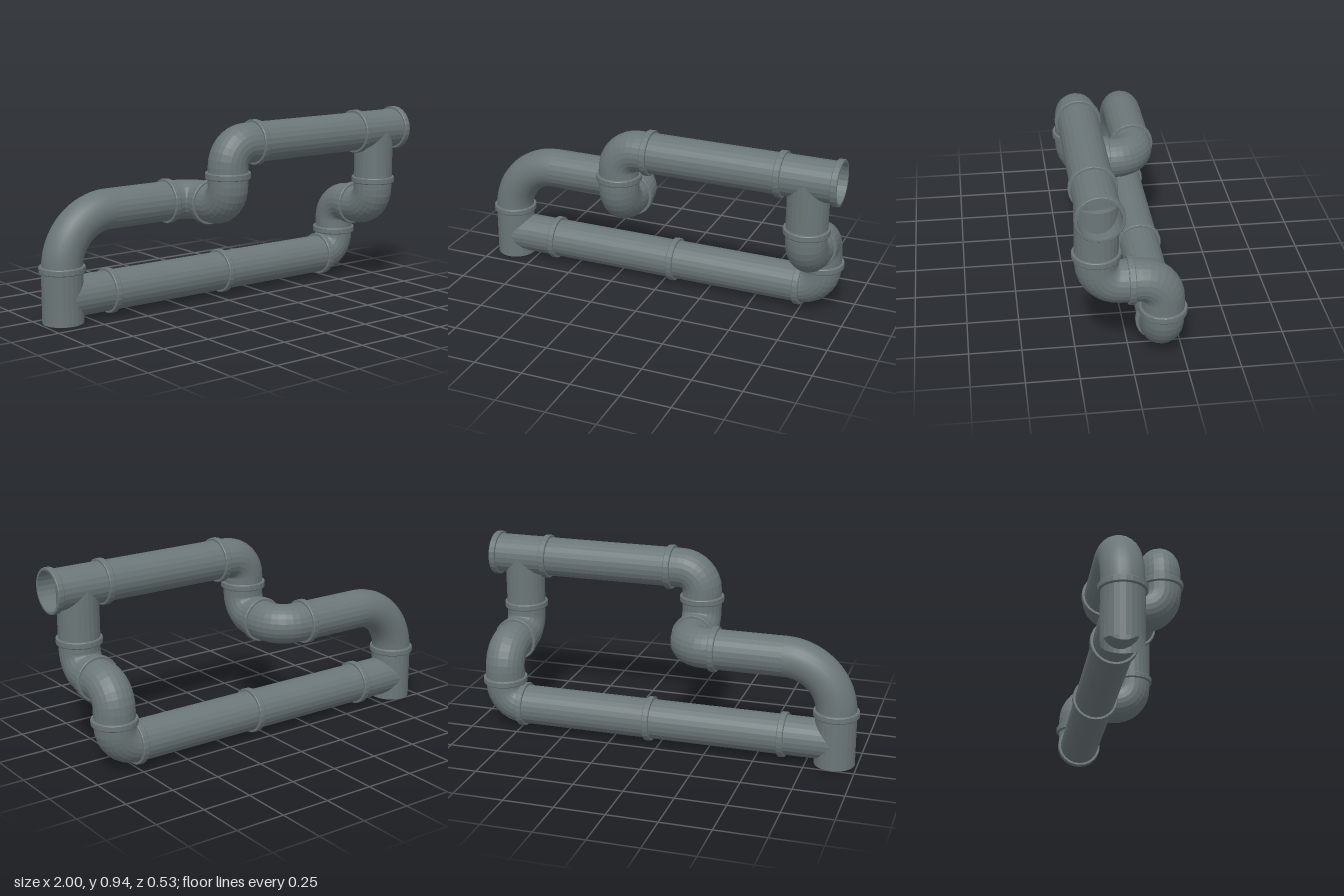
import * as THREE from 'three';

const SIDES = 24;
const R = 0.1;        // pipe radius
const BEND = 0.106;   // centreline radius of the short elbows
const UP = new THREE.Vector3(0, 1, 0);
const v = (x, y, z) => new THREE.Vector3(x, y, z);

export function createModel() {
  const root = new THREE.Group();
  root.name = 'pipework';
  const flat = new THREE.MeshStandardMaterial({ color: 0x6b7678, side: THREE.DoubleSide, flatShading: true });
  const smooth = new THREE.MeshStandardMaterial({ color: 0x6b7678, side: THREE.DoubleSide });

  const add = (name, geometry, material = flat) => {
    const mesh = new THREE.Mesh(geometry, material);
    mesh.name = name;
    root.add(mesh);
    return mesh;
  };

  // Open straight tube between two points
  const pipe = (name, a, b, r = R) => {
    const mesh = add(name, new THREE.CylinderGeometry(r, r, a.distanceTo(b), SIDES, 1, true));
    mesh.position.copy(a).add(b).multiplyScalar(0.5);
    mesh.quaternion.setFromUnitVectors(UP, b.clone().sub(a).normalize());
  };

  // Quarter bend round a corner, with straight stubs running out to both ends
  const elbow = (name, from, corner, to, bend = BEND, material = flat, steps = 8) => {
    const a = from.clone().sub(corner).normalize();
    const b = to.clone().sub(corner).normalize();
    const mesh = add(name, new THREE.TorusGeometry(bend, R, SIDES, steps, Math.PI / 2), material);
    const x = a.clone().negate(), y = b.clone().negate();
    mesh.quaternion.setFromRotationMatrix(new THREE.Matrix4().makeBasis(x, y, x.clone().cross(y)));
    mesh.position.copy(corner).addScaledVector(a, bend).addScaledVector(b, bend);
    for (const [end, dir] of [[from, a], [to, b]]) {
      const start = corner.clone().addScaledVector(dir, bend);
      if (start.distanceTo(end) > 0.005) pipe(name + 'Stub', start, end);
    }
  };

  // Bevelled ring round a joint
  const collarProfile = [[0.099, -0.016], [0.11, -0.016], [0.113, -0.012], [0.113, 0.012],
    [0.11, 0.016], [0.099, 0.016], [0.099, -0.016]].map(([x, y]) => new THREE.Vector2(x, y));
  const collarGeometry = new THREE.LatheGeometry(collarProfile, SIDES);
  const collar = (at, axis) => {
    const mesh = add('collar', collarGeometry);
    mesh.position.copy(at);
    mesh.quaternion.setFromUnitVectors(UP, axis);
  };
  const X = v(1, 0, 0), Z = v(0, 0, 1);

  const zF = 0.156, zB = -0.152;        // front and back planes of the run
  const xL = -0.887, xM = -0.125, xR = 0.842;
  const yLow = 0.12, yMid = 0.527, yStep = 0.415, yTop = 0.832;

  // Lower left tee, open at the foot
  pipe('lowerTee', v(xL, 0, zB), v(xL, 0.265, zB), 0.101);
  pipe('lowerTeeBranch', v(xL, yLow, zB), v(-0.63, yLow, zB));

  // Long bottom run
  pipe('bottomPipe', v(-0.63, yLow, zB), v(0.055, yLow, zB));
  pipe('bottomPipe', v(0.055, yLow, zB), v(0.736, yLow, zB));
  for (const x of [-0.63, 0.055, 0.736]) collar(v(x, yLow, zB), X);

  // Right side: up, step forward, up to the upper tee
  elbow('lowerRightElbow', v(0.736, yLow, zB), v(xR, yLow, zB), v(xR, 0.25, zB));
  elbow('backStepElbow', v(xR, 0.25, zB), v(xR, yStep, zB), v(xR, yStep, 0));
  elbow('frontStepElbow', v(xR, yStep, 0), v(xR, yStep, zF), v(xR, 0.567, zF));
  collar(v(xR, 0.25, zB), UP);
  collar(v(xR, yStep, 0), Z);
  collar(v(xR, 0.567, zF), UP);

  // Upper tee, open at the right
  pipe('upperTeeBranch', v(xR, 0.567, zF), v(xR, yTop, zF), 0.101);
  pipe('upperTee', v(0.71, yTop, zF), v(0.998, yTop, zF), 0.101);
  collar(v(0.984, yTop, zF), X);

  // Top run
  pipe('topPipe', v(0.04, yTop, zF), v(0.71, yTop, zF));
  collar(v(0.71, yTop, zF), X);
  collar(v(0.04, yTop, zF), X);

  // Middle: down, step back, then left
  elbow('upperElbow', v(0.04, yTop, zF), v(xM, yTop, zF), v(xM, 0.683, zF));
  elbow('middleFrontElbow', v(xM, 0.683, zF), v(xM, yMid, zF), v(xM, yMid, 0));
  elbow('middleBackElbow', v(xM, yMid, 0), v(xM, yMid, zB), v(-0.277, yMid, zB));
  collar(v(xM, 0.683, zF), UP);
  collar(v(xM, yMid, 0), Z);
  collar(v(-0.277, yMid, zB), X);

  // Wide sweep down to the lower tee
  elbow('wideBend', v(-0.277, yMid, zB), v(xL, yMid, zB), v(xL, 0.265, zB), 0.26, smooth, 20);
  collar(v(xL, 0.265, zB), UP);

  return root;
}
